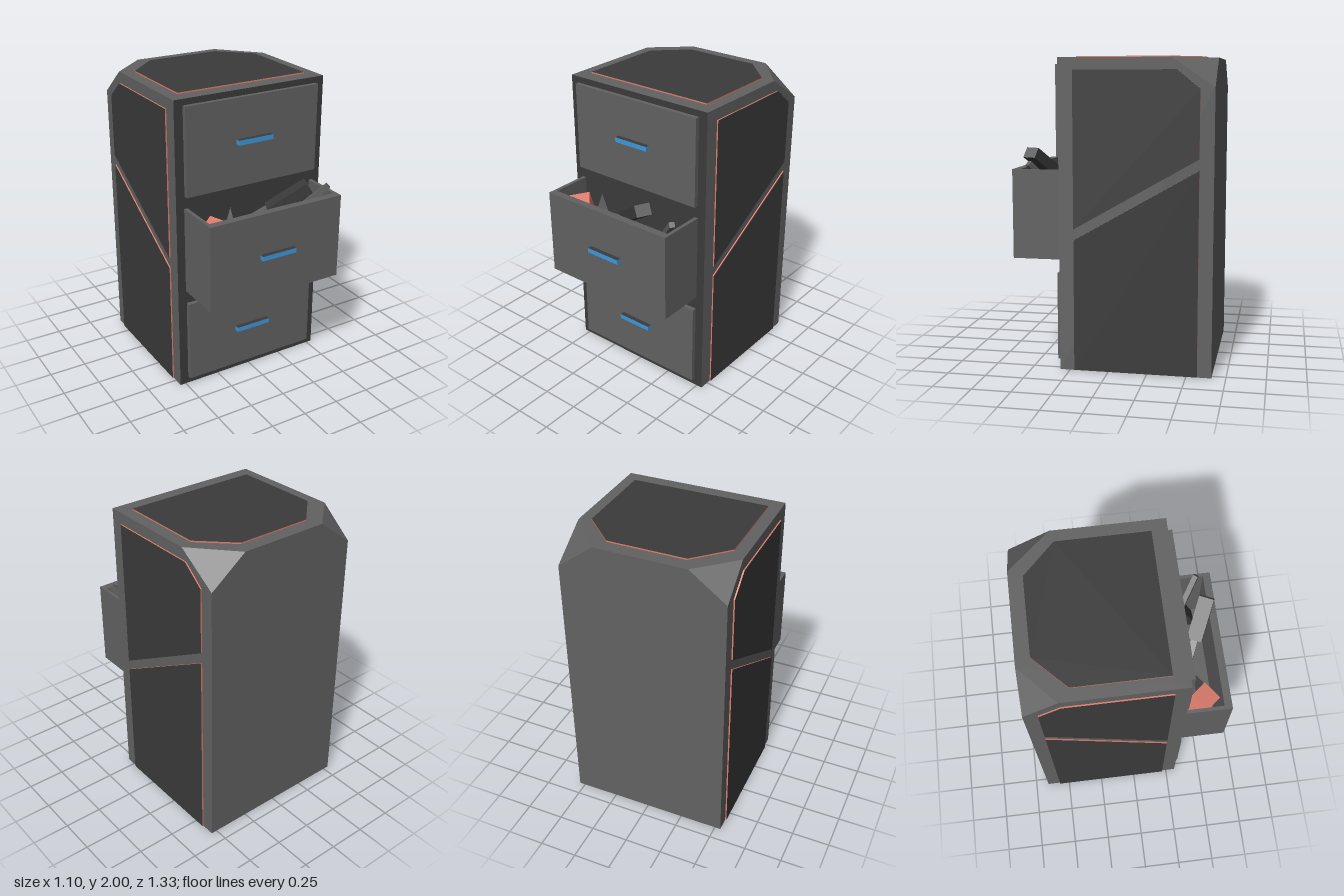
import * as THREE from 'three';

const mat = (name, color) => {
  const m = new THREE.MeshStandardMaterial({ color, side: THREE.DoubleSide });
  m.name = name;
  return m;
};

export function createModel() {
  const model = new THREE.Group();
  model.name = 'filingCabinet';
  const grey = mat('steelGrey', 0x626262);
  const dark = mat('darkGrey', 0x3b3b3b);
  const blue = mat('handleBlue', 0x3d98dc);
  const red = mat('accentRed', 0xdd7d6d);

  const add = (name, geo, material, parent = model) => {
    const mesh = new THREE.Mesh(geo, material);
    mesh.name = name;
    parent.add(mesh);
    return mesh;
  };
  // Box given by its two opposite corners
  const block = (name, a, b, material, parent) => {
    const mesh = add(name, new THREE.BoxGeometry(b[0] - a[0], b[1] - a[1], b[2] - a[2]), material, parent);
    mesh.position.set((a[0] + b[0]) / 2, (a[1] + b[1]) / 2, (a[2] + b[2]) / 2);
    return mesh;
  };
  // Flat convex polygon, fanned into triangles
  const face = (name, pts, material) => {
    const pos = [];
    for (let i = 1; i < pts.length - 1; i++) pos.push(...pts[0], ...pts[i], ...pts[i + 1]);
    const geo = new THREE.BufferGeometry();
    geo.setAttribute('position', new THREE.Float32BufferAttribute(pos, 3));
    geo.computeVertexNormals();
    return add(name, geo, material);
  };
  // Thin raised panel: dark faces, red edges
  const panelGeo = (pts) => new THREE.ExtrudeGeometry(
    new THREE.Shape(pts.map(([x, y]) => new THREE.Vector2(x, y))), { depth: 0.009, bevelEnabled: false });

  // Cabinet shell, open underneath, with cut upper rear corners
  const W = 0.54, H = 1.99, F = 0.315, B = -0.66, C = 1.81, K = 0.3;
  const cutZ = { 1: -0.39, [-1]: -0.44 };
  face('frontFrame', [[-W, 0, F], [W, 0, F], [W, H, F], [-W, H, F]], dark);
  face('backWall', [[W, 0, B], [-W, 0, B], [-W, C, B], [-K, H, B], [K, H, B], [W, C, B]], grey);
  face('topWall', [[-W, H, F], [W, H, F], [W, H, cutZ[1]], [K, H, B], [-K, H, B], [-W, H, cutZ[-1]]], grey);
  for (const s of [1, -1]) {
    const label = s > 0 ? 'left' : 'right';
    const order = (pts) => (s > 0 ? pts : pts.reverse());
    const x = s * W;
    face(label + 'Wall', order([[x, 0, F], [x, 0, B], [x, C, B], [x, H, cutZ[s]], [x, H, F]]), grey);
    face(label + 'CutCorner', order([[x, C, B], [s * K, H, B], [x, H, cutZ[s]]]), grey);

    // Side panels split by a slanted gap
    const panels = {
      UpperPanel: [[-0.22, 0.92], [0.57, 1.375], [0.57, 1.8], [0.43, 1.915], [-0.22, 1.915]],
      LowerPanel: [[-0.22, 0.003], [0.57, 0.003], [0.57, 1.305], [-0.22, 0.85]],
    };
    for (const [name, pts] of Object.entries(panels)) {
      const panel = add(label + name, panelGeo(pts).rotateY(Math.PI / 2), [dark, red]);
      panel.position.x = s > 0 ? W : -W - 0.009;
    }
  }
  const top = [[-0.46, -0.215], [0.46, -0.215], [0.46, 0.37], [0.255, 0.57], [-0.255, 0.57], [-0.46, 0.37]];
  add('topPanel', panelGeo(top).rotateX(-Math.PI / 2), [dark, red]).position.y = H;

  // Handles: blue bars with dark upper and lower faces
  const handle = (y, z, parent) => block('handle', [-0.125, y - 0.016, z], [0.125, y + 0.016, z + 0.032],
    [blue, blue, dark, dark, blue, blue], parent);

  // Closed drawers
  for (const [name, y0, y1, hy] of [['topDrawer', 1.37, 1.95, 1.67], ['bottomDrawer', 0.05, 0.62, 0.335]]) {
    const drawer = new THREE.Group();
    drawer.name = name;
    model.add(drawer);
    block('drawerFront', [-0.48, y0, F], [0.48, y1, 0.345], grey, drawer);
    handle(hy, 0.345, drawer);
  }

  // Open middle drawer
  const open = new THREE.Group();
  open.name = 'openDrawer';
  model.add(open);
  const y0 = 0.71, y1 = 1.288, Z = 0.635;
  block('drawerFront', [-0.484, y0, 0.585], [0.484, y1, Z], grey, open);
  block('drawerFloor', [-0.46, y0, F], [0.46, y0 + 0.04, 0.585], grey, open);
  for (const s of [1, -1]) {
    const xs = [s * 0.46, s * 0.484].sort((a, b) => a - b);
    block('drawerSide', [xs[0], y0, F], [xs[1], y1, 0.585], grey, open);
  }
  handle(1.0, Z, open);

  // Loose tools in the drawer: bars laid between two points
  const bar = (name, a, b, w, h, material) => {
    const p = new THREE.Vector3(...a), q = new THREE.Vector3(...b);
    const mesh = add(name, new THREE.BoxGeometry(w, h, p.distanceTo(q)), material, open);
    mesh.position.copy(p).lerp(q, 0.5);
    mesh.lookAt(q);
    return mesh;
  };
  bar('toolShaft', [-0.19, 1.08, 0.37], [0.04, 1.23, 0.47], 0.045, 0.045, grey);
  const grip = bar('toolGrip', [0.04, 1.22, 0.47], [0.265, 1.378, 0.575], 0.1, 0.075, dark);
  grip.material = [dark, dark, dark, dark, grey, dark];
  bar('rod', [0.2, 1.03, 0.34], [0.455, 1.325, 0.535], 0.035, 0.035, grey);
  bar('darkBlock', [0.37, 0.8, 0.5], [0.36, 1.12, 0.38], 0.1, 0.08, dark);

  const redBlock = add('redBlock', new THREE.BoxGeometry(0.14, 0.2, 0.13), red, open);
  redBlock.position.set(-0.36, 1.12, 0.46);
  redBlock.rotation.set(0.3, 0.7, 0);

  const wedge = add('wedge', new THREE.ConeGeometry(0.1, 0.3, 4).toNonIndexed(), grey, open);
  wedge.geometry.computeVertexNormals();
  wedge.position.set(-0.215, 1.13, 0.42);
  wedge.rotation.y = 0.3;

  return model;
}
